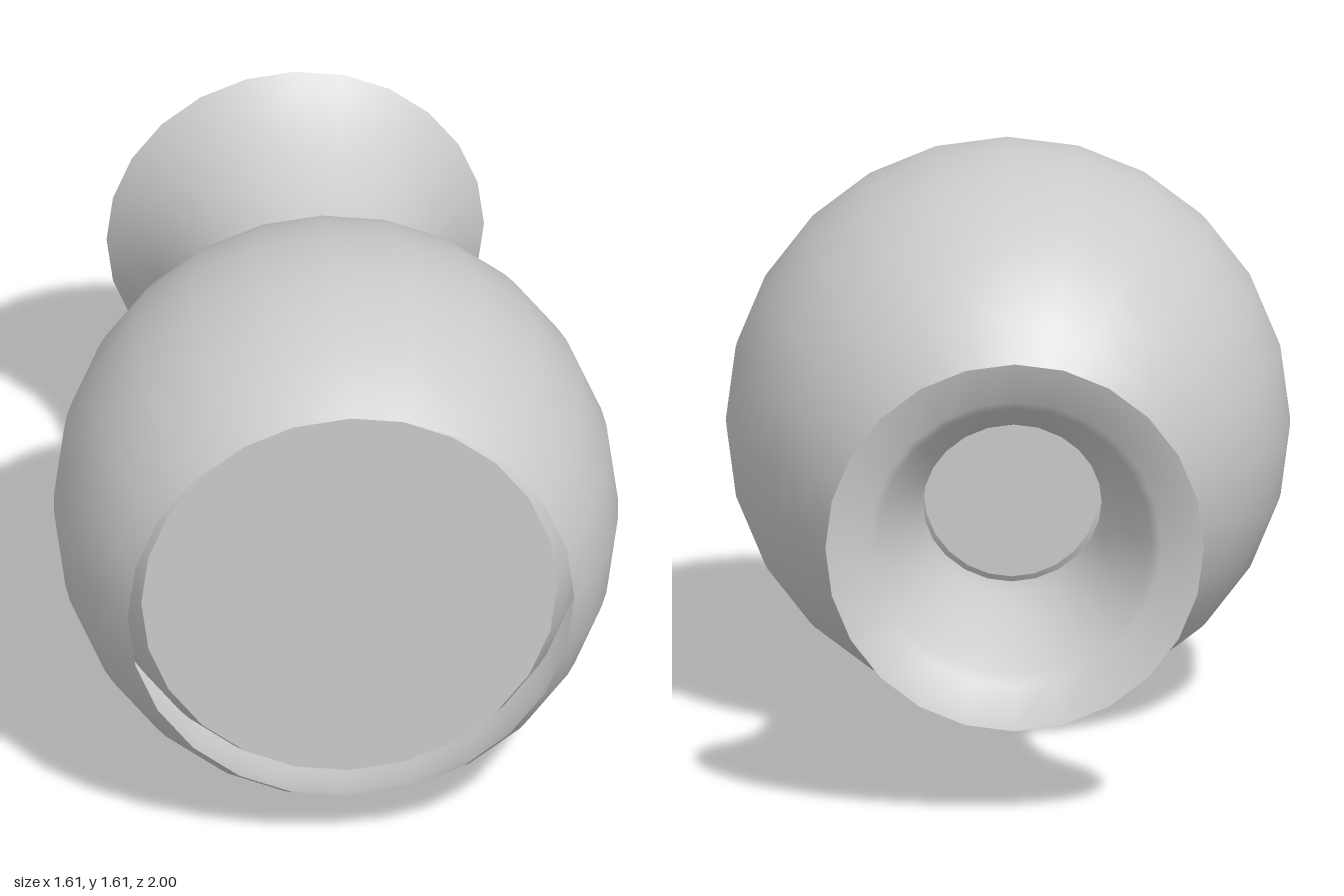
import * as THREE from 'three';

const SIDES = 24;
const WALL = 0.088;
const AXIS_Y = 0.805;
const JOINT_Z = -0.345;
const LIP_Z = -0.96;
const FLOOR_Z = 0.93;

// Outer radius of the round body and of the flared neck at a given z
const bodyRadius = (z) => 0.805 * Math.sqrt(1 - ((z - 0.46) / 0.888) ** 2);
const neckRadius = (z) => 1.128 - Math.sqrt(0.785 ** 2 - (z + 0.48) ** 2);

// Profile of a radius rule between two z positions, set in by an offset
function profile(radius, z0, z1, steps, inset = 0) {
  const points = [];
  for (let i = 0; i <= steps; i++) {
    const z = z0 + ((z1 - z0) * i) / steps;
    points.push(new THREE.Vector2(radius(z) - inset, z));
  }
  return points;
}

export function createModel() {
  const group = new THREE.Group();
  group.name = 'vase';
  const material = new THREE.MeshStandardMaterial({ color: 0xcccccc, side: THREE.DoubleSide });

  // Turn a profile around the z axis
  function turned(name, points) {
    const geometry = new THREE.LatheGeometry(points, SIDES);
    geometry.rotateX(Math.PI / 2);
    const mesh = new THREE.Mesh(geometry, material);
    mesh.name = name;
    mesh.position.y = AXIS_Y;
    group.add(mesh);
  }

  // Outer shell, open at the foot
  turned('outerBody', profile(bodyRadius, JOINT_Z, 1, 16));
  turned('outerNeck', profile(neckRadius, -1, JOINT_Z, 16));

  // Inner shell; its neck rolls smoothly into the sloping lip at the mouth
  turned('innerBody', profile(bodyRadius, JOINT_Z, FLOOR_Z, 16, WALL));
  turned('innerNeckAndLip', [
    new THREE.Vector2(neckRadius(-1), -1),
    ...profile(neckRadius, LIP_Z, JOINT_Z, 16, WALL),
  ]);

  // Flat floor closing the inner shell, set back from the foot
  const floor = new THREE.Mesh(new THREE.CircleGeometry(bodyRadius(FLOOR_Z) - WALL, SIDES), material);
  floor.name = 'floor';
  floor.position.set(0, AXIS_Y, FLOOR_Z);
  group.add(floor);

  return group;
}
